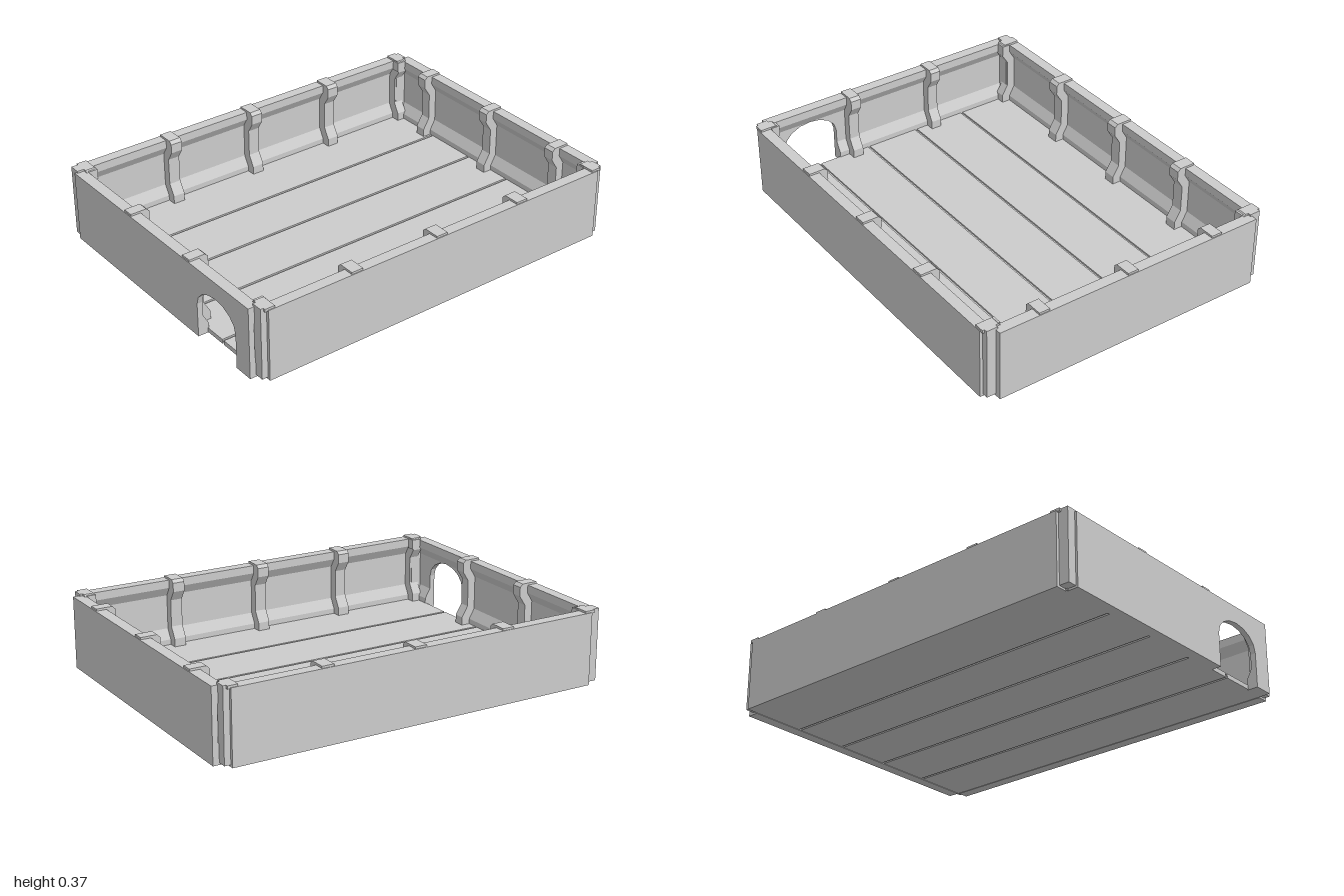
import * as THREE from 'three';

const H = 0.355;
// Wall cross-section: x = distance inward from the outer face, y = height
const WALL = [[0, 0], [0.055, 0], [0.055, 0.05], [0.027, 0.1], [0.027, 0.27], [0.055, 0.315], [0.055, H], [0, H]];
// Upper part of the wall that spans the arched opening
const LINTEL = [[0, 0.27], [0.027, 0.27], [0.055, 0.315], [0.055, H], [0, H]];
// Bracket that hooks over the rim and follows the wall to the floor
const RIB = [[0.004, 0.35], [0.004, 0.365], [0.085, 0.365], [0.1, 0.35], [0.1, 0.305], [0.068, 0.255], [0.068, 0.12],
  [0.1, 0.065], [0.1, 0.015], [0.05, 0.015], [0.05, 0.05], [0.022, 0.1], [0.022, 0.27], [0.05, 0.315], [0.05, 0.35]];

export function createModel() {
  const root = new THREE.Group();
  root.name = 'openCrate';
  const mat = new THREE.MeshStandardMaterial({ color: 0xcccccc, flatShading: true });

  function add(parent, name, geo, x = 0, y = 0, z = 0) {
    const m = new THREE.Mesh(geo, mat);
    m.name = name;
    m.position.set(x, y, z);
    parent.add(m);
    return m;
  }
  const box = (parent, name, x0, x1, y0, y1, z0, z1) =>
    add(parent, name, new THREE.BoxGeometry(x1 - x0, y1 - y0, z1 - z0), (x0 + x1) / 2, (y0 + y1) / 2, (z0 + z1) / 2);

  // Extrude a cross-section along local z from a to b
  function run(parent, name, pts, a, b) {
    const shape = new THREE.Shape(pts.map(p => new THREE.Vector2(p[0], p[1])));
    return add(parent, name, new THREE.ExtrudeGeometry(shape, { depth: b - a, bevelEnabled: false }), 0, 0, a);
  }
  // Local +x points into the crate
  function side(name, x, z, angle, ribs) {
    const g = new THREE.Group();
    g.name = name;
    g.position.set(x, 0, z);
    g.rotation.y = angle;
    root.add(g);
    for (const [c, w] of ribs) run(g, 'rib', RIB, c - w / 2, c + w / 2);
    return g;
  }

  // Long walls with three ribs and one at each corner
  const longRibs = [[-0.93, 0.05], [-0.475, 0.06], [-0.005, 0.06], [0.465, 0.06], [0.93, 0.05]];
  run(side('frontWall', 0, 0.76, Math.PI / 2, longRibs), 'panel', WALL, -0.94, 0.94);
  run(side('backWall', 0, -0.76, -Math.PI / 2, longRibs), 'panel', WALL, -0.94, 0.94);

  // Plain short wall
  run(side('leftWall', 1, 0, Math.PI, [[-0.47, 0.055], [0, 0.055], [0.47, 0.055]]), 'panel', WALL, -0.7, 0.7);

  // Short wall with the arched opening
  const z0 = 0.31, z1 = 0.6, spring = 0.17, top = 0.27;
  const arched = side('rightWall', -1, 0, 0, [[-0.24, 0.055], [0.23, 0.055]]);
  run(arched, 'panel', WALL, -0.7, z0);
  run(arched, 'jamb', WALL, z1, 0.7);
  run(arched, 'lintel', LINTEL, z0, z1);
  // Faceted spandrels fill the corners above the arch
  const zc = (z0 + z1) / 2, r = (z1 - z0) / 2;
  for (const s of [-1, 1]) {
    const pts = [[zc + s * r, top]];
    for (let i = 0; i <= 4; i++) {
      const a = i * Math.PI / 8;
      pts.push([zc + s * r * Math.cos(a), spring + (top - spring) * Math.sin(a)]);
    }
    const shape = new THREE.Shape(pts.map(p => new THREE.Vector2(-p[0], p[1])));
    const m = add(arched, 'archSpandrel', new THREE.ExtrudeGeometry(shape, { depth: 0.027, bevelEnabled: false }));
    m.rotation.y = Math.PI / 2;
  }

  // Corner posts, slightly higher than the walls
  for (const sx of [-1, 1]) for (const sz of [-1, 1]) {
    const g = new THREE.Group();
    g.name = 'cornerPost';
    root.add(g);
    const out = sx < 0 && sz < 0 ? 0.99 : 0.97;
    const xs = [sx * 0.915, sx * out].sort((a, b) => a - b);
    const zs = [sz * 0.69, sz * 0.745].sort((a, b) => a - b);
    box(g, 'post', xs[0], xs[1], 0.01, 0.365, zs[0], zs[1]);
    const fx = [sx * 0.9, sx * 0.945].sort((a, b) => a - b);
    const fz = [sz * 0.66, sz * 0.7].sort((a, b) => a - b);
    box(g, 'cornerHook', fx[0], fx[1], 0.31, 0.36, fz[0], fz[1]);
  }

  // Floor: five planks over a thin core that closes the grooves
  const planks = 5, width = 1.42 / planks, gap = 0.012;
  for (let i = 0; i < planks; i++) {
    const a = -0.71 + i * width;
    box(root, 'floorPlank', -0.95, 0.95, 0.002, 0.024, a + gap / 2, a + width - gap / 2);
  }
  box(root, 'floorCore', -0.945, 0.945, 0.009, 0.016, -0.71, 0.71);
  return root;
}
